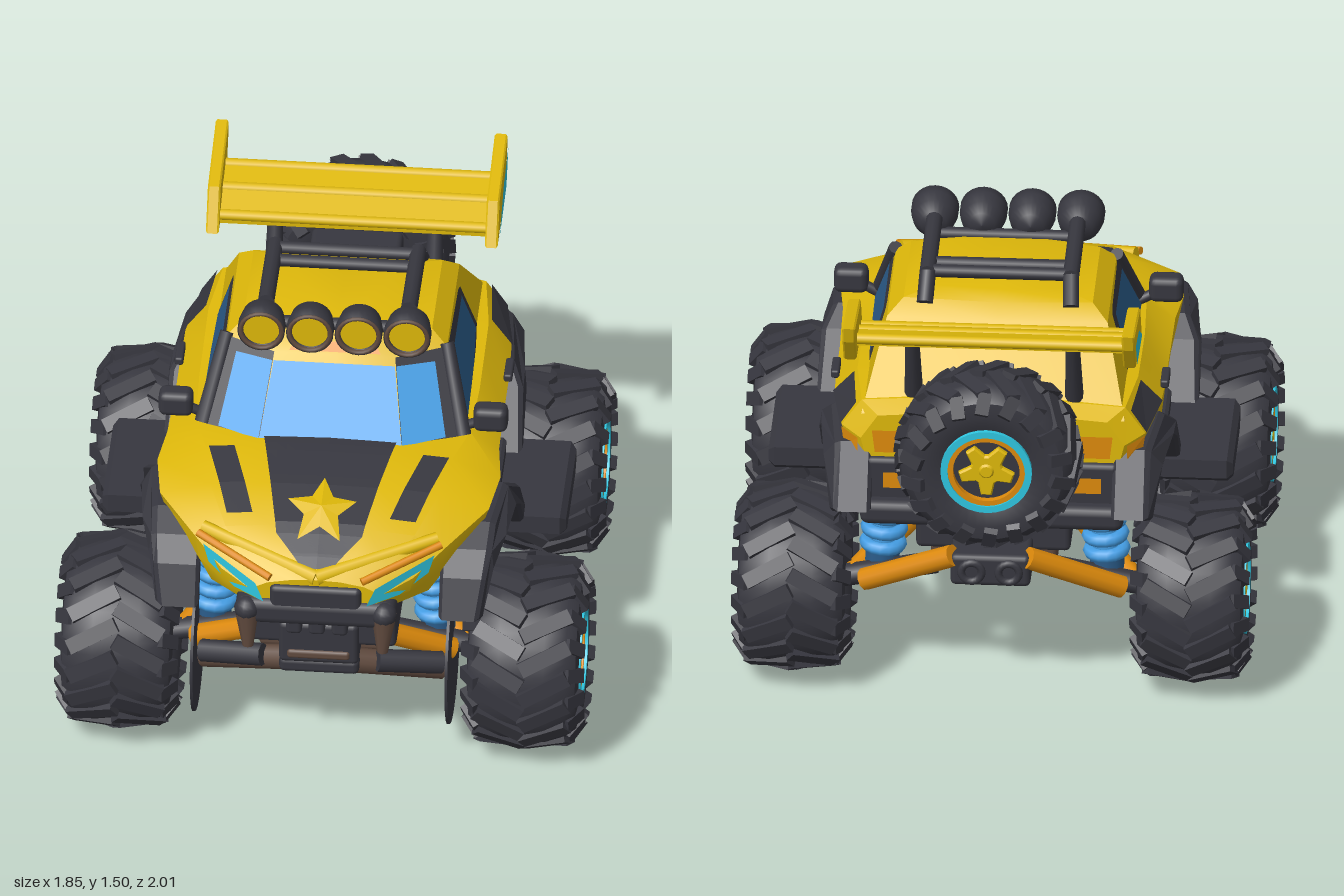
import * as THREE from 'three';
import { mergeGeometries, toCreasedNormals } from 'three/addons/utils/BufferGeometryUtils.js';
import { RoundedBoxGeometry } from 'three/addons/geometries/RoundedBoxGeometry.js';

const mat = (name, color) => Object.assign(new THREE.MeshStandardMaterial({ color }), { name });
const yellow = mat('yellow paint', 0xdeb80a), dark = mat('dark rubber and trim', 0x37373f), glass = mat('bright blue', 0x459fe6), tinted = mat('tinted glass', 0x2b5c8a);
const cyan = mat('cyan accent', 0x2fc6e0), orange = mat('orange accent', 0xdd8a0c), brown = mat('brown metal', 0x604a3e);
const V = (x, y, z) => new THREE.Vector3(x, y, z);
const lerp = THREE.MathUtils.lerp;

export function createModel() {
  const root = new THREE.Group();
  const add = (name, geo, m, parent = root) => {
    const mesh = new THREE.Mesh(geo, m);
    mesh.name = name;
    parent.add(mesh);
    return mesh;
  };
  const box = (name, m, x0, x1, y0, y1, z0, z1, r = 0.02) => {
    const mesh = add(name, new RoundedBoxGeometry(x1 - x0, y1 - y0, z1 - z0, 2, r), m);
    mesh.position.set((x0 + x1) / 2, (y0 + y1) / 2, (z0 + z1) / 2);
  };
  const rod = (name, m, a, b, r0, r1 = r0, sides = 10) => {
    const mesh = add(name, new THREE.CylinderGeometry(r1, r0, a.distanceTo(b), sides), m);
    mesh.position.copy(a).lerp(b, 0.5);
    mesh.quaternion.setFromUnitVectors(V(0, 1, 0), b.clone().sub(a).normalize());
  };
  const rawGeo = (tris) => {
    const g = new THREE.BufferGeometry().setFromPoints(tris);
    g.computeVertexNormals();
    return g;
  };
  // Profile of [z, y] points extruded sideways between x0 and x1
  const profile = (name, m, pts, x0, x1, bevel = 0.012) => {
    const g = new THREE.ExtrudeGeometry(new THREE.Shape(pts.map(([z, y]) => new THREE.Vector2(-z, y))), {
      depth: x1 - x0 - 2 * bevel, bevelEnabled: bevel > 0, bevelThickness: bevel, bevelSize: bevel, bevelOffset: -bevel, bevelSegments: 1 });
    return add(name, g.rotateY(Math.PI / 2).translate(x0 + bevel, 0, 0), m);
  };
  const sideProfile = (name, m, pts, x0, x1, s, bevel) => profile(name, m, pts, s > 0 ? x0 : -x1, s > 0 ? x1 : -x0, bevel);
  // Wheel arch whose outer edge tapers towards its top and its far end
  const fender = (name, pts, x1, s) => {
    const g = sideProfile(name, dark, pts, 0.42, x1, s).geometry, p = g.attributes.position;
    for (let i = 0; i < p.count; i++) if (Math.abs(p.getX(i)) > 0.5)
      p.setX(i, p.getX(i) - s * (Math.max(0, Math.abs(p.getZ(i)) - 0.55) * 0.35 + Math.max(0, p.getY(i) - 0.84) * 0.6));
    g.computeVertexNormals();
  };
  // Flat polygon lifted off the bodywork, turned to face outwards
  const plate = (name, m, pts, lift = 0.006) => {
    const mid = pts.reduce((a, p) => a.add(p), V(0, 0, 0)).divideScalar(pts.length);
    const n = pts[1].clone().sub(pts[0]).cross(pts[2].clone().sub(pts[0])).normalize();
    if (n.dot(mid.clone().sub(V(0, 0.85, -0.1))) < 0) { n.negate(); pts = [...pts].reverse(); }
    const q = pts.map((p) => p.clone().addScaledVector(n, lift));
    add(name, rawGeo(q.slice(2).flatMap((p, i) => [q[0], q[i + 1], p])), m);
  };
  // Skin over mirrored half sections, ends capped
  const loft = (name, m, halves) => {
    const rings = halves.map((h) => [...h, ...h.slice(1, -1).reverse().map((p) => V(-p.x, p.y, p.z))]);
    const n = rings[0].length, tris = [], last = rings[rings.length - 1];
    for (let i = 0; i + 1 < rings.length; i++) for (let j = 0; j < n; j++) {
      const k = (j + 1) % n, a = rings[i][j], b = rings[i][k], c = rings[i + 1][k], d = rings[i + 1][j];
      tris.push(a, d, c, a, c, b);
    }
    for (let j = 1; j + 1 < n; j++) tris.push(rings[0][0], rings[0][j], rings[0][j + 1], last[0], last[j + 1], last[j]);
    add(name, toCreasedNormals(rawGeo(tris), 0.5), m);
  };

  // Lower body: z, bottom, shoulder and top heights, bottom, shoulder and top half widths
  const stations = [
    [0.95, 0.77, 0.82, 0.85, 0.2, 0.23, 0.17], [0.88, 0.74, 0.85, 0.9, 0.28, 0.335, 0.25], [0.78, 0.73, 0.91, 0.96, 0.38, 0.435, 0.33],
    [0.6, 0.87, 0.96, 1.01, 0.5, 0.575, 0.4], [0.42, 0.87, 0.97, 1.035, 0.52, 0.6, 0.43], [0.25, 0.7, 0.97, 1.035, 0.5, 0.58, 0.48],
    [0, 0.7, 0.95, 1.04, 0.5, 0.575, 0.49], [-0.18, 0.7, 0.95, 1.05, 0.5, 0.575, 0.49], [-0.36, 0.88, 0.97, 1.065, 0.5, 0.57, 0.49],
    [-0.6, 0.88, 0.97, 1.07, 0.46, 0.53, 0.46], [-0.66, 0.85, 0.95, 1.04, 0.4, 0.46, 0.4]];
  const sections = stations.map(([z, yb, ys, yt, wb, ws, wt]) => [V(0, yb, z), V(wb, yb, z), V(lerp(wb, ws, 0.8), lerp(yb, ys, 0.5), z),
    V(ws, ys, z), V(wt, yt, z), V(wt / 2, yt + 0.016, z), V(0, yt + 0.02, z)]);
  loft('body', yellow, sections);
  const hoodY = (x, z) => {
    let i = 0, j = 3;
    while (i < stations.length - 2 && stations[i + 1][0] > z) i++;
    const t = (stations[i][0] - z) / (stations[i][0] - stations[i + 1][0]);
    const h = sections[i].map((p, k) => p.clone().lerp(sections[i + 1][k], t));
    while (j < 5 && h[j + 1].x > Math.abs(x)) j++;
    return lerp(h[j].y, h[j + 1].y, (h[j].x - Math.abs(x)) / (h[j].x - h[j + 1].x));
  };
  // Painted hood panels: rows of [x left, x right, z]
  const decal = (name, m, [a, b, z0], [c, d, z1], n = 12) => {
    const tris = [], P = (u, v) => {
      const x = lerp(lerp(a, b, u), lerp(c, d, u), v), z = lerp(z0, z1, v);
      return V(x, hoodY(x, z) + 0.006, z);
    };
    for (let i = 0; i < n; i++) for (let j = 0; j < n; j++) {
      const [u, v, U, W] = [i / n, j / n, (i + 1) / n, (j + 1) / n];
      tris.push(P(u, v), P(u, W), P(U, W), P(u, v), P(U, W), P(U, v));
    }
    add(name, rawGeo(tris), m);
  };
  decal('hoodPanel', dark, [-0.24, 0.24, 0.32], [-0.15, 0.15, 0.81]);
  decal('hoodPanelTip', dark, [-0.15, 0.15, 0.81], [-0.05, 0.05, 0.92]);
  decal('hoodSlashLeft', dark, [0.33, 0.42, 0.42], [0.24, 0.33, 0.73]);
  decal('hoodSlashRight', dark, [-0.42, -0.33, 0.42], [-0.33, -0.24, 0.73]);
  const star = [], starPoint = (i) => {
    const a = i * Math.PI / 5, r = i % 2 ? 0.07 : 0.14, x = Math.sin(a) * r * 0.9, z = 0.72 - Math.cos(a) * r;
    return V(x, hoodY(x, z) + 0.012, z);
  };
  for (let i = 0; i < 10; i++) star.push(V(0, hoodY(0, 0.72) + 0.03, 0.72), starPoint(i + 1), starPoint(i));
  add('hoodStar', rawGeo(star), yellow);

  // Cabin: y, front z, flat front half width, front corner x and z, rear z
  const cabin = [[1.36, 0.08, 0.14, 0.22, 0.05, -0.28], [1.34, 0.13, 0.19, 0.33, 0.07, -0.34], [1.29, 0.185, 0.21, 0.385, 0.102, -0.39], [1.03, 0.375, 0.25, 0.46, 0.275, -0.63]]
    .map(([y, zf, xm, xc, zc, zr]) => [V(0, y, zf), V(xm, y, zf), V(xc, y, zc), V(xc, y, zr), V(0, y, zr - 0.02)]);
  loft('cabin', yellow, cabin);
  const [top, low] = [cabin[2], cabin[3]];
  plate('roofBrim', orange, [V(-0.16, 1.295, 0.18), V(0.16, 1.295, 0.18), V(0.14, 1.32, 0.152), V(-0.14, 1.32, 0.152)]);
  plate('windshield', glass, [V(-0.25, 1.04, 0.368), V(0.25, 1.04, 0.368), V(0.212, 1.265, 0.203), V(-0.212, 1.265, 0.203)], 0.009);
  for (const s of [1, -1]) {
    const on = (k, uv) => uv.map(([u, v]) => {
      const p = low[k].clone().lerp(low[k + 1], u).lerp(top[k].clone().lerp(top[k + 1], u), v);
      return V(p.x * s, p.y, p.z);
    });
    plate('windshieldFrame', dark, on(1, [[0, 0.02], [1, 0.02], [1, 1], [0, 1]]), 0.004);
    plate('windshieldCorner', glass, on(1, [[0, 0.04], [0.7, 0.04], [0.72, 0.87], [0, 0.904]]), 0.009);
    plate('sideWindowFrame', dark, on(2, [[0, 0.02], [0.5, 0.05], [0.7, 0.18], [0.77, 0.9], [0.72, 0.95], [0, 1]]), 0.004);
    plate('sideWindow', tinted, on(2, [[0.07, 0.05], [0.45, 0.12], [0.65, 0.23], [0.69, 0.85], [0.09, 0.85]]), 0.009);
    rod('windshieldPillar', dark, V(0.455 * s, 1.03, 0.265), V(0.385 * s, 1.3, 0.095), 0.03, 0.025);

    // Headlights, brow and trim
    plate('headlight', cyan, [[0.17, 0.795], [0.28, 0.795], [0.375, 0.845], [0.395, 0.91], [0.2, 0.855]].map(([x, y]) => V(x * s, y, 0.975 - 0.74 * (x - 0.17))), 0.016);
    rod('headlightTrim', orange, V(0.16 * s, 0.868, 0.945), V(0.425 * s, 0.938, 0.795), 0.014);
    rod('brow', yellow, V(0, 0.866, 0.93), V(0.41 * s, 0.942, 0.765), 0.03, 0.024);
    plate('rearQuarterPanel', dark, [V(0.57 * s, 0.97, -0.36), V(0.53 * s, 0.97, -0.6), V(0.475 * s, 1.055, -0.6), V(0.495 * s, 1.06, -0.38)]);
    plate('tailLight', orange, [V(0.22 * s, 0.9, -0.66), V(0.41 * s, 0.9, -0.66), V(0.42 * s, 0.985, -0.66), V(0.22 * s, 0.985, -0.66)], 0.008);
    plate('rearCornerTrim', orange, [V(0.515 * s, 0.9, -0.61), V(0.465 * s, 0.9, -0.655), V(0.465 * s, 0.95, -0.655), V(0.525 * s, 0.97, -0.61)], 0.008);
    const [h0, h1, m0, m1] = s > 0 ? [0.56, 0.59, 0.49, 0.61] : [-0.59, -0.56, -0.61, -0.49];
    box('doorHandle', dark, h0, h1, 0.965, 0.995, -0.26, -0.15, 0.008);
    box('mirror', dark, m0, m1, 1.05, 1.145, 0.2, 0.28, 0.025);
    rod('mirrorArm', dark, V(0.44 * s, 1.04, 0.23), V(0.52 * s, 1.08, 0.24), 0.018);

    // Fenders, sill and step
    fender('frontFender', [[0.86, 0.66], [0.8, 0.8], [0.72, 0.87], [0.62, 0.92], [0.38, 0.92], [0.3, 0.86], [0.17, 0.68], [0.25, 0.66], [0.37, 0.81], [0.42, 0.845], [0.6, 0.845], [0.72, 0.79], [0.81, 0.64]], 0.665, s);
    fender('rearFender', [[-0.13, 0.68], [-0.27, 0.86], [-0.35, 0.925], [-0.64, 0.925], [-0.78, 0.72], [-0.72, 0.69], [-0.61, 0.845], [-0.39, 0.845], [-0.34, 0.81], [-0.2, 0.66]], 0.625, s);
    sideProfile('sill', dark, [[0.3, 0.72], [0.24, 0.62], [0.18, 0.55], [-0.16, 0.55], [-0.2, 0.62], [-0.26, 0.72]], 0.25, 0.57, s);
    sideProfile('sideStep', dark, [[0.23, 0.67], [0.23, 0.6], [0.17, 0.56], [-0.17, 0.56], [-0.23, 0.6], [-0.23, 0.67]], 0.5, 0.81, s, 0.02);

    // Spoiler end plates and posts, roof rack rails
    sideProfile('spoilerEndPlate', yellow, [[-0.48, 1.3], [-0.56, 1.445], [-0.885, 1.5], [-0.87, 1.44], [-0.8, 1.335]], 0.465, 0.51, s, 0.006);
    plate('endPlateAccent', cyan, [[-0.52, 1.318], [-0.69, 1.425], [-0.865, 1.455], [-0.79, 1.345]].map(([z, y]) => V(0.508 * s, y, z)));
    rod('spoilerPost', dark, V(0.28 * s, 1.04, -0.55), V(0.28 * s, 1.35, -0.66), 0.035, 0.025);
    rod('rackRail', dark, V(0.25 * s, 1.425, 0.08), V(0.25 * s, 1.41, -0.29), 0.029);
    rod('rackLeg', dark, V(0.25 * s, 1.41, -0.28), V(0.255 * s, 1.33, -0.36), 0.029);

    // Suspension and wheels at both axles
    for (const e of [1, -1]) {
      rod('suspensionArm', orange, V(0.22 * s, 0.47, 0.14 * e), V(0.5 * s, 0.36, 0.57 * e), 0.046, 0.04);
      rod('suspensionArm', orange, V(0.13 * s, 0.55, 0.76 * e), V(0.45 * s, 0.37, 0.62 * e), 0.04);
      rod('axle', dark, V(0.2 * s, 0.42, 0.57 * e), V(0.56 * s, 0.35, 0.57 * e), 0.04);
      const [a, b] = [V(0.395 * s, 0.4, 0.52 * e), V(0.36 * s, 0.88, 0.515 * e)];
      rod('damper', glass, a, b, 0.046);
      rod('springSeat', tinted, V(0.395 * s, 0.37, 0.52 * e), V(0.39 * s, 0.45, 0.52 * e), 0.062);
      for (let i = 0; i < 7; i++) {
        const coil = add('springCoil', new THREE.TorusGeometry(0.06, 0.024, 8, 16), glass);
        coil.position.copy(a).lerp(b, 0.14 + i * 0.123);
        coil.quaternion.setFromUnitVectors(V(0, 0, 1), b.clone().sub(a).normalize());
      }
      const w = wheel(e > 0 ? 'frontWheel' : 'rearWheel');
      w.position.set((e > 0 ? 0.71 : 0.695) * s, 0.35, e > 0 ? 0.574 : -0.56);
      w.rotation.z = -s * Math.PI / 2;
      w.scale.setScalar(e > 0 ? 0.985 : 0.95);
    }
    rod('wheelInnerDisc', dark, V(0.44 * s, 0.34, 0.57), V(0.45 * s, 0.34, 0.57), 0.27, 0.27, 28);
    // Bumper tusks and lower arms
    rod('bumperTusk', brown, V(0.24 * s, 0.74, 0.95), V(0.235 * s, 0.59, 0.965), 0.045, 0.02);
    add('bumperKnob', new THREE.SphereGeometry(0.045, 14, 10).translate(0.24 * s, 0.74, 0.952), dark);
    rod('lowerBumperArm', brown, V(0.1 * s, 0.4, 0.76), V(0.42 * s, 0.32, 0.66), 0.045);
    rod('lowerBumperArm', dark, V(0.2 * s, 0.41, 0.77), V(0.42 * s, 0.365, 0.7), 0.04);
  }

  // Tyre with chevron lugs, rim rings and star hub; axle points along local +y
  function wheel(name) {
    const g = new THREE.Group();
    g.name = name;
    root.add(g);
    const lathe = (pts, sides) => toCreasedNormals(new THREE.LatheGeometry(pts.map(([r, y]) => new THREE.Vector2(r, y)), sides), 0.6);
    const half = [[0, 0.155], [0.14, 0.155], [0.165, 0.175], [0.23, 0.198], [0.285, 0.19], [0.315, 0.155], [0.33, 0.08]];
    add('tyre', lathe([...half.map(([r, y]) => [r, -y]), ...[...half].reverse()], 40), dark, g);
    const lugs = [];
    for (let i = 0; i < 18; i++) for (const k of [1, -1]) {
      const turn = (i + (k > 0 ? 0 : 0.5)) * Math.PI / 9;
      lugs.push(new THREE.BoxGeometry(0.04, 0.19, 0.055).rotateX(k * 0.5).rotateZ(k * 0.13).translate(0.319, k * 0.08, 0).rotateY(turn));
      lugs.push(new THREE.BoxGeometry(0.09, 0.03, 0.05).rotateZ(-k * 0.6).translate(0.272, k * 0.182, -k * 0.06).rotateY(turn));
    }
    add('treadLugs', mergeGeometries(lugs), dark, g);
    const ring = (n, m, r0, r1, y) => add(n, lathe([[r1, y - 0.04], [r1, y], [r0, y], [r0, y - 0.04]], 32), m, g);
    ring('rimRing', cyan, 0.144, 0.17, 0.2);
    ring('rimInnerRing', orange, 0.124, 0.145, 0.19);
    const shape = new THREE.Shape(Array.from({ length: 20 }, (_, i) => {
      const a = (i - 0.5) * Math.PI / 10, r = [0.098, 0.098, 0.055, 0.055][i % 4];
      return new THREE.Vector2(Math.sin(a) * r, Math.cos(a) * r);
    }));
    add('starHub', new THREE.ExtrudeGeometry(shape, { depth: 0.02, bevelSize: 0.006, bevelThickness: 0.01, bevelSegments: 1 }).rotateX(-Math.PI / 2).translate(0, 0.155, 0), yellow, g);
    add('hubCap', new THREE.CylinderGeometry(0.022, 0.03, 0.012, 12).translate(0, 0.19, 0), yellow, g);
    return g;
  }

  // Spare wheel and rear end
  const spare = wheel('spareWheel');
  spare.position.set(0, 1.01, -0.86);
  spare.rotation.x = -Math.PI / 2;
  spare.scale.set(0.94, 0.69, 0.94);
  box('spareMount', dark, -0.16, 0.16, 0.75, 1.17, -0.74, -0.62);
  box('rearPanel', dark, -0.44, 0.44, 0.66, 0.88, -0.68, -0.5);
  box('rearBumper', dark, -0.46, 0.46, 0.64, 0.73, -0.73, -0.6, 0.03);
  for (const x of [-0.28, 0.28]) plate('rearReflector', orange, [V(x - 0.1, 0.77, -0.68), V(x + 0.1, 0.77, -0.68), V(x + 0.1, 0.83, -0.68), V(x - 0.1, 0.83, -0.68)]);
  box('exhaustBox', dark, -0.14, 0.14, 0.44, 0.56, -0.78, -0.55);
  for (const x of [-0.065, 0.065]) add('exhaustPipe', new THREE.TorusGeometry(0.036, 0.014, 8, 18).translate(x, 0.5, -0.785), dark);

  // Spoiler blade
  profile('spoilerBlade', yellow, [[-0.54, 1.34], [-0.66, 1.385], [-0.77, 1.41], [-0.77, 1.375], [-0.66, 1.34], [-0.54, 1.305]], -0.48, 0.48, 0.004);
  for (const [y, z] of [[1.335, -0.55], [1.375, -0.66], [1.4, -0.765]]) rod('spoilerRib', yellow, V(-0.48, y, z), V(0.48, y, z), 0.02);

  // Roof lamps and rack bars
  for (const x of [-0.255, -0.085, 0.085, 0.255]) {
    const lamp = new THREE.LatheGeometry([[0, -0.065], [0.045, -0.055], [0.073, -0.02], [0.083, 0.03], [0.083, 0.07], [0.066, 0.07], [0.062, 0.05]].map(([r, y]) => new THREE.Vector2(r, y)), 24);
    add('roofLamp', lamp.rotateX(Math.PI / 2).translate(x, 1.4, 0.15), dark);
    add('lampRim', new THREE.TorusGeometry(0.072, 0.009, 6, 24).translate(x, 1.4, 0.218), brown);
    add('lampLens', new THREE.CircleGeometry(0.066, 24).translate(x, 1.4, 0.209), yellow);
  }
  for (const [y, z] of [[1.41, -0.27], [1.405, -0.2], [1.36, 0.1]]) rod('rackCrossbar', dark, V(-0.25, y, z), V(0.25, y, z), 0.023);

  // Front bumper and grille
  box('frontBumper', dark, -0.28, 0.28, 0.68, 0.785, 0.8, 0.975, 0.035);
  box('noseGrille', dark, -0.16, 0.16, 0.74, 0.845, 0.85, 0.97, 0.02);
  for (const x of [-0.08, 0, 0.08]) box('grilleTooth', dark, x - 0.028, x + 0.028, 0.61, 0.7, 0.84, 0.92, 0.015);
  box('lowerGrille', dark, -0.14, 0.14, 0.43, 0.6, 0.68, 0.84);
  box('lowerGrilleBar', brown, -0.11, 0.11, 0.455, 0.49, 0.8, 0.85, 0.012);
  box('skidPlate', dark, -0.14, 0.14, 0.38, 0.44, 0.6, 0.83);

  // Chassis
  box('innerBody', dark, -0.27, 0.27, 0.5, 0.86, -0.62, 0.82);
  box('chassisPan', dark, -0.27, 0.27, 0.38, 0.57, -0.17, 0.21);
  box('chassisUnderplate', brown, -0.22, 0.22, 0.374, 0.383, -0.15, 0.19, 0.004);
  box('chassisFloor', brown, -0.22, 0.22, 0.41, 0.52, -0.58, 0.72);
  return root;
}
